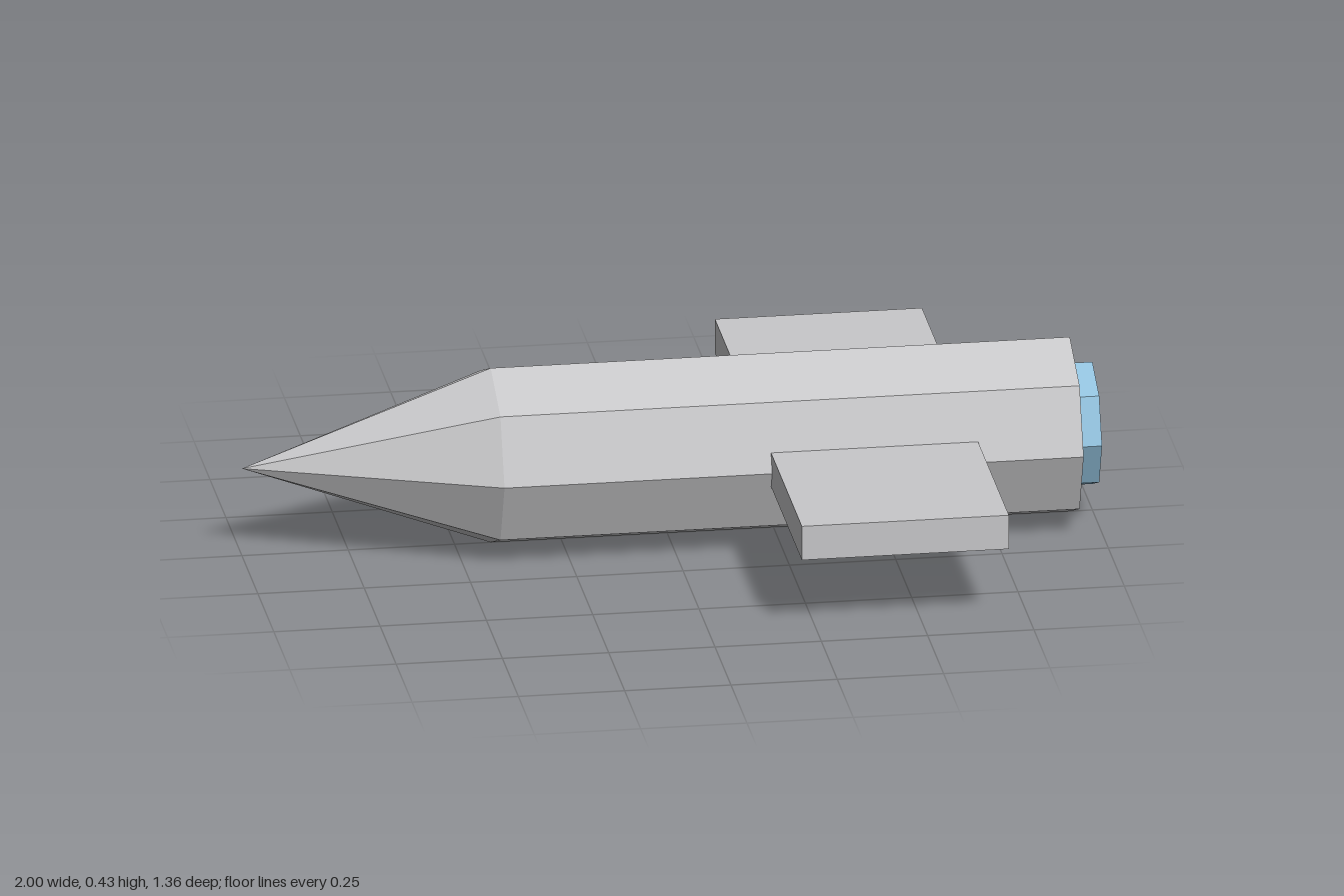
import * as THREE from 'three';

const AXIS_Y = 0.217;

export function createModel() {
  const group = new THREE.Group();
  const grey = new THREE.MeshStandardMaterial({ color: 0xc8c8ca, flatShading: true });
  grey.name = 'hullGrey';
  const blue = new THREE.MeshStandardMaterial({ color: 0x93c2de, flatShading: true });
  blue.name = 'engineBlue';

  function add(name, geometry, material, x, y, z) {
    const mesh = new THREE.Mesh(geometry, material);
    mesh.name = name;
    mesh.position.set(x, y, z);
    group.add(mesh);
  }

  // Eight-sided section lying along x, its tip end towards -x
  function section(name, x0, x1, r0, r1, material) {
    const geometry = r0 === 0
      ? new THREE.ConeGeometry(r1, x1 - x0, 8, 1, true)
      : new THREE.CylinderGeometry(r0, r1, x1 - x0, 8);
    geometry.rotateZ(Math.PI / 2);
    add(name, geometry, material, (x0 + x1) / 2, AXIS_Y, 0);
  }

  section('noseCone', -1, -0.415, 0, 0.217, grey);
  section('body', -0.415, 0.947, 0.217, 0.217, grey);
  section('engineNozzle', 0.947, 1, 0.152, 0.152, blue);

  // Flat wings on both sides, rooted just inside the hull
  for (const side of [1, -1]) {
    add(side > 0 ? 'frontWing' : 'backWing',
      new THREE.BoxGeometry(0.487, 0.084, 0.485), grey, 0.458, 0.22, side * 0.4385);
  }

  return group;
}
